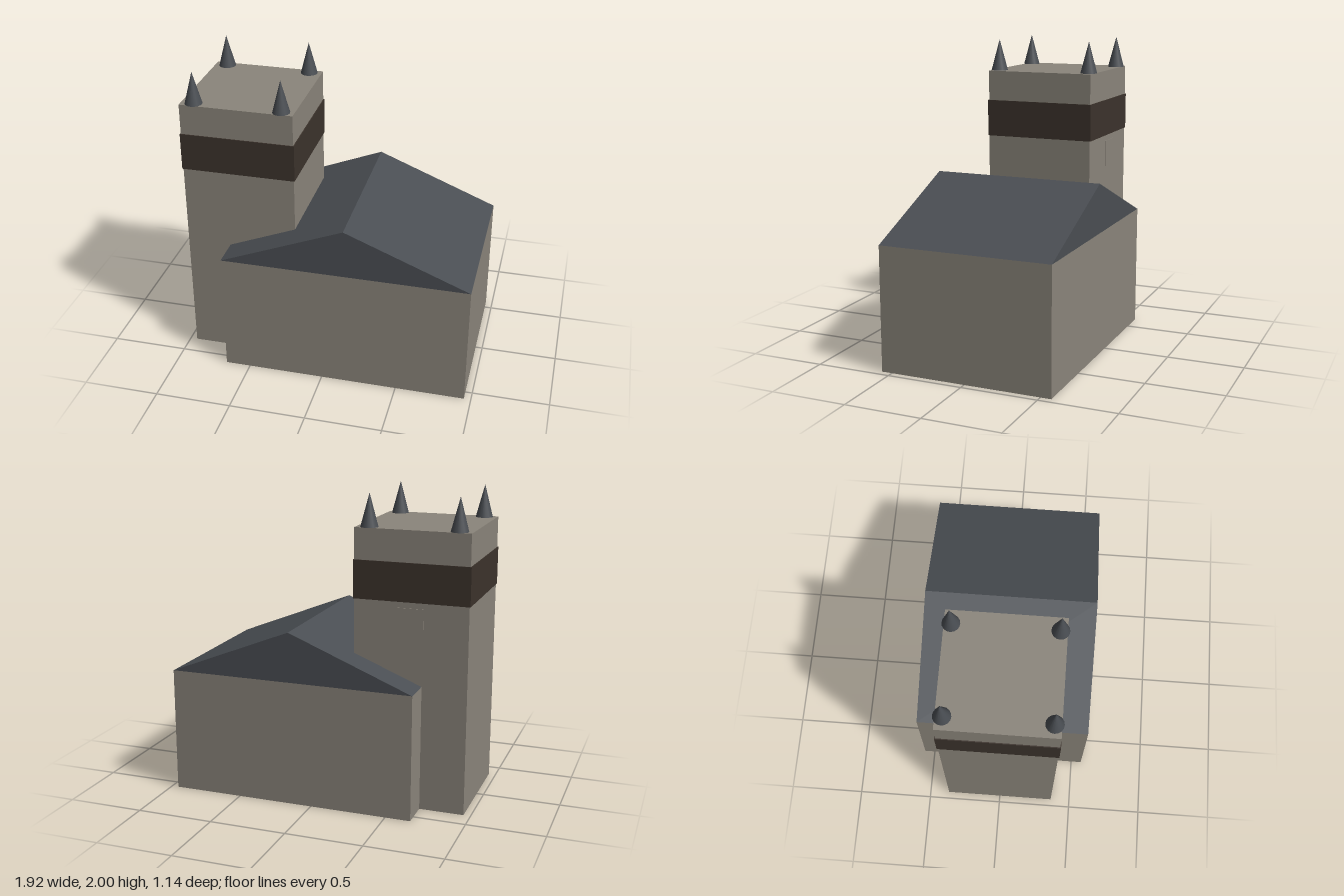
import * as THREE from 'three';

export function createModel() {
  const model = new THREE.Group();
  model.name = 'churchWithTower';

  const material = (name, color) => {
    const m = new THREE.MeshStandardMaterial({ color });
    m.name = name;
    return m;
  };
  const stone = material('stone', 0x8b857b);
  const slate = material('slate', 0x4a4e53);
  const timber = material('darkTimber', 0x3c332c);

  const add = (name, geometry, mat, x, y, z) => {
    const mesh = new THREE.Mesh(geometry, mat);
    mesh.name = name;
    mesh.position.set(x, y, z);
    model.add(mesh);
    return mesh;
  };
  // Box placed by the height of its base
  const box = (name, mat, w, h, d, x, base, z) =>
    add(name, new THREE.BoxGeometry(w, h, d), mat, x, base + h / 2, z);

  // Hall
  const hallX = 0.145, hallW = 1.62, hallH = 0.815, hallD = 1.14;
  box('hallWalls', stone, hallW, hallH, hallD, hallX, 0, 0);

  // Gabled roof, ridge running front to back
  const gable = new THREE.Shape();
  gable.moveTo(-hallW / 2, 0);
  gable.lineTo(hallW / 2, 0);
  gable.lineTo(0, 0.325);
  gable.closePath();
  const roof = new THREE.ExtrudeGeometry(gable, { depth: hallD, bevelEnabled: false });
  add('hallRoof', roof, slate, hallX, hallH, -hallD / 2);

  // Tower with a dark belt
  const towerX = -0.587, towerH = 1.79;
  box('tower', stone, 0.735, towerH, 0.735, towerX, 0, 0);
  box('towerBelt', timber, 0.747, 0.245, 0.747, towerX, 1.345, 0);

  // Square panel standing just off the back of the tower
  box('backPanel', stone, 0.17, 0.175, 0.004, -0.587, 1.135, -0.381);

  // Corner spires
  const spire = new THREE.ConeGeometry(0.056, 0.21, 16);
  for (const sx of [-1, 1]) {
    for (const sz of [-1, 1]) {
      add('cornerSpire', spire, slate, towerX + sx * 0.284, towerH + 0.105, sz * 0.325);
    }
  }

  return model;
}
